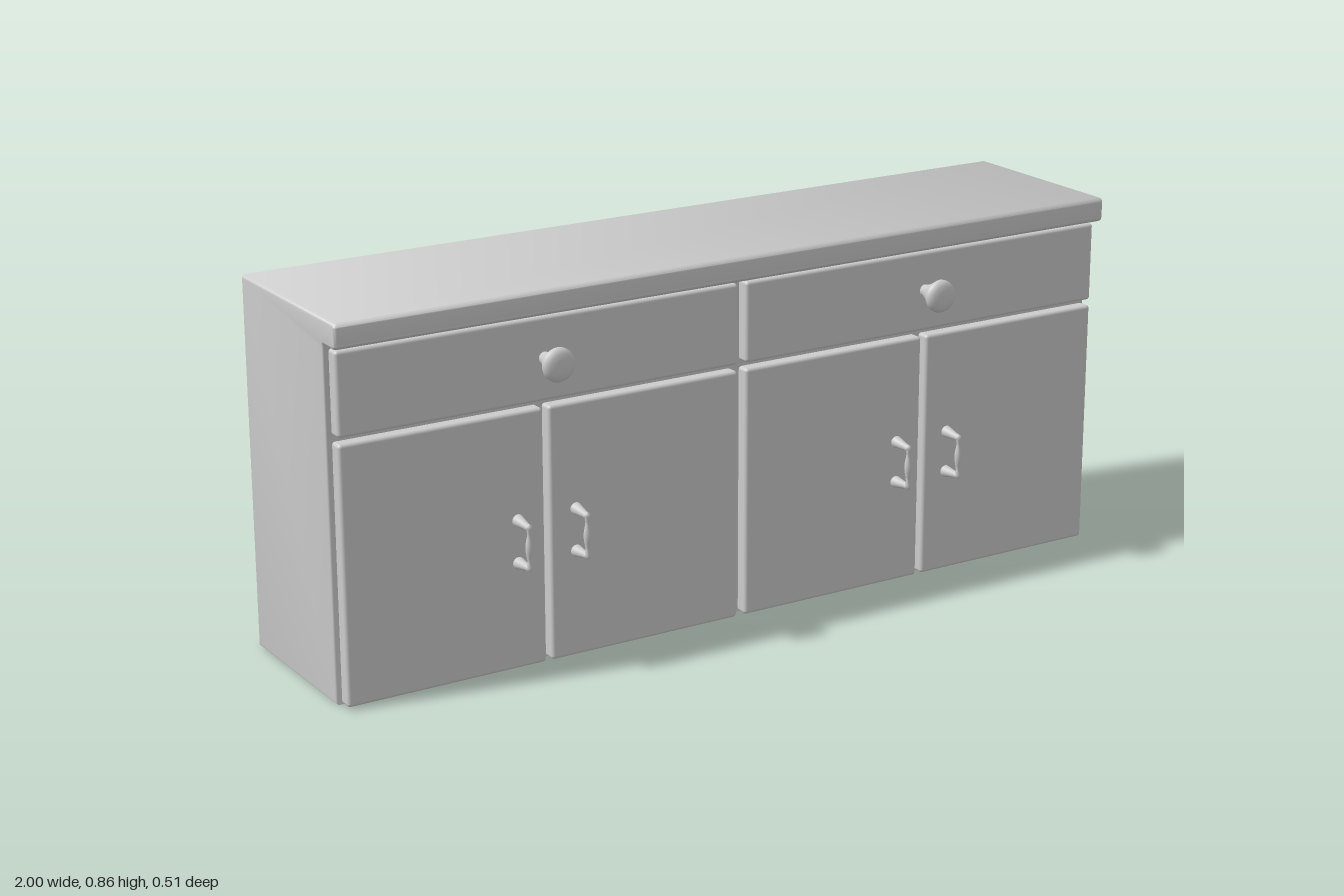
import * as THREE from 'three';
import { toCreasedNormals } from 'three/addons/utils/BufferGeometryUtils.js';
import { RoundedBoxGeometry } from 'three/addons/geometries/RoundedBoxGeometry.js';

const material = new THREE.MeshStandardMaterial({ color: 0xcccccc });

function addMesh(parent, name, geometry, x = 0, y = 0, z = 0) {
  const mesh = new THREE.Mesh(geometry, material);
  mesh.name = name;
  mesh.position.set(x, y, z);
  parent.add(mesh);
  return mesh;
}

// Side outline (z, y) with an overhanging worktop, run along x with softened edges
function bodyGeometry() {
  const bevel = 0.007;
  const shape = new THREE.Shape();
  const [back, front, lip] = [-0.255 + bevel, 0.142 - bevel, 0.2 - bevel];
  const [bottom, under, top] = [0.003 + bevel, 0.802 + bevel, 0.859 - bevel];
  shape.moveTo(back, bottom);
  shape.lineTo(front, bottom);
  shape.lineTo(front, under - 0.012);
  shape.quadraticCurveTo(front, under, front + 0.012, under);
  shape.lineTo(lip - 0.005, under);
  shape.quadraticCurveTo(lip, under, lip, under + 0.005);
  shape.lineTo(lip, top - 0.003);
  shape.quadraticCurveTo(lip, top, lip - 0.003, top);
  shape.lineTo(back, top);
  shape.closePath();
  const length = 2 - 2 * bevel;
  const geometry = new THREE.ExtrudeGeometry(shape, {
    depth: length, bevelEnabled: true, bevelSize: bevel, bevelThickness: bevel, bevelSegments: 3, curveSegments: 5,
  });
  geometry.translate(0, 0, -length / 2);
  geometry.rotateY(-Math.PI / 2);
  geometry.scale(1, 1, 1);
  return toCreasedNormals(geometry, 0.8);
}

// Front panel given by its edges
function addPanel(parent, name, x0, x1, y0, y1) {
  const geometry = new RoundedBoxGeometry(x1 - x0, y1 - y0, 0.036, 4, 0.008);
  return addMesh(parent, name, geometry, (x0 + x1) / 2, (y0 + y1) / 2, 0.163);
}

function lathe(points, segments) {
  return new THREE.LatheGeometry(points.map(([r, y]) => new THREE.Vector2(r, y)), segments);
}

// Flared round drawer knob pointing forward
function knobGeometry() {
  return lathe([
    [0, -0.004], [0.014, -0.004], [0.014, 0.004], [0.017, 0.016], [0.024, 0.033], [0.032, 0.047],
    [0.038, 0.057], [0.038, 0.064], [0.035, 0.07], [0.027, 0.075], [0.014, 0.077], [0, 0.077],
  ], 28).rotateX(Math.PI / 2);
}

// Door pull: two tapered posts joined by a bar swelling in the middle
function createHandle() {
  const handle = new THREE.Group();
  handle.name = 'doorHandle';
  const post = lathe([
    [0, -0.004], [0.014, -0.004], [0.014, 0.003], [0.011, 0.02], [0.008, 0.04], [0.008, 0.05], [0.005, 0.054], [0, 0.055],
  ], 16).rotateX(Math.PI / 2);
  for (const side of [-1, 1]) {
    const mesh = addMesh(handle, 'handlePost', post, 0, side * 0.049, 0);
    mesh.rotation.x = side * 0.06;
  }
  addMesh(handle, 'handleBar', lathe([
    [0, -0.055], [0.006, -0.052], [0.007, -0.044], [0.004, -0.034], [0.005, -0.024], [0.0075, -0.012], [0.0085, 0],
    [0.0075, 0.012], [0.005, 0.024], [0.004, 0.034], [0.007, 0.044], [0.006, 0.052], [0, 0.055],
  ], 16), 0, 0, 0.049);
  return handle;
}

export function createModel() {
  const group = new THREE.Group();
  group.name = 'sideboard';
  addMesh(group, 'cabinetBodyWithWorktop', bodyGeometry());

  // Two identical bays: a wide drawer over a pair of doors
  for (const x of [-0.5, 0.5]) {
    const bay = new THREE.Group();
    bay.name = x < 0 ? 'rightBay' : 'leftBay';
    bay.position.x = x;
    group.add(bay);
    addPanel(bay, 'drawerFront', -0.491, 0.488, 0.608, 0.795);
    addMesh(bay, 'drawerKnob', knobGeometry(), -0.003, 0.704, 0.18);
    addPanel(bay, 'doorRight', -0.491, -0.009, 0.008, 0.594);
    addPanel(bay, 'doorLeft', 0.005, 0.488, 0.008, 0.594);
    for (const side of [-1, 1]) {
      const handle = createHandle();
      handle.position.set(side * 0.072 - 0.003, 0.302, 0.18);
      bay.add(handle);
    }
  }
  return group;
}
